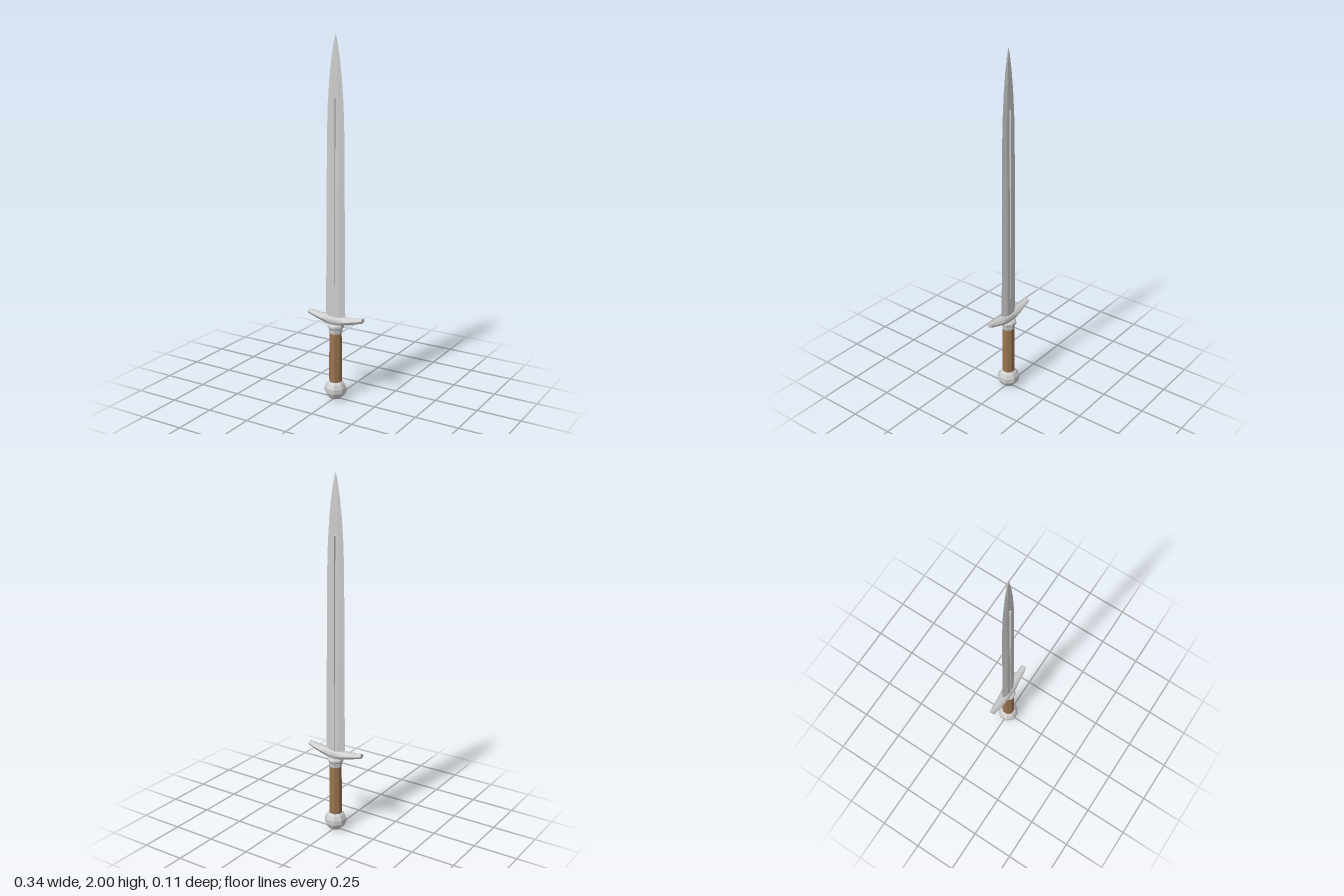
import * as THREE from 'three';
import { toCreasedNormals } from 'three/addons/utils/BufferGeometryUtils.js';

const steel = new THREE.MeshStandardMaterial({ color: 0xcccccc });
const flatSteel = new THREE.MeshStandardMaterial({ color: 0xcccccc, flatShading: true });
const leather = new THREE.MeshStandardMaterial({ color: 0x9a7350, flatShading: true });

// Skin closed rings of points, counter-clockwise seen from the far end, and cap both ends
function loft(rings) {
  const pos = [];
  const tri = (...pts) => pts.forEach((p) => pos.push(...p));
  const n = rings[0].length;
  for (let k = 0; k < rings.length - 1; k++) {
    for (let i = 0; i < n; i++) {
      const j = (i + 1) % n;
      const a = rings[k], b = rings[k + 1];
      tri(a[i], a[j], b[j]);
      tri(a[i], b[j], b[i]);
    }
  }
  const first = rings[0], last = rings[rings.length - 1];
  for (let i = 1; i < n - 1; i++) {
    tri(first[0], first[i + 1], first[i]);
    tri(last[0], last[i], last[i + 1]);
  }
  const geo = new THREE.BufferGeometry();
  geo.setAttribute('position', new THREE.Float32BufferAttribute(pos, 3));
  geo.computeVertexNormals();
  return geo;
}

// Eight-sided turned part from [radius, height] pairs
function turned(profile) {
  const points = profile.map(([r, y]) => new THREE.Vector2(r, y));
  return new THREE.LatheGeometry(points, 8, Math.PI / 8);
}

export function createModel() {
  const group = new THREE.Group();
  const add = (name, geo, mat) => {
    const mesh = new THREE.Mesh(geo, mat);
    mesh.name = name;
    group.add(mesh);
  };

  // Blade: flattened hexagon sections [height, half width, half thickness]
  const blade = [
    [0.46, 0.062, 0.016], [0.8, 0.059, 0.014], [1.2, 0.056, 0.012], [1.5, 0.053, 0.01],
    [1.65, 0.048, 0.009], [1.78, 0.038, 0.008], [1.88, 0.026, 0.006],
    [1.95, 0.014, 0.004], [1.985, 0.006, 0.003], [2.0, 0.001, 0.001],
  ].map(([y, w, t]) => {
    const f = w * 0.45;
    return [[w, y, 0], [f, y, -t], [-f, y, -t], [-w, y, 0], [-f, y, t], [f, y, t]];
  });
  add('blade', loft(blade), flatSteel);

  // Narrow raised rib along both faces of the blade
  const rib = [0.46, 1.68].map((y) => [
    [0.006, y, 0], [0.003, y, -0.018], [-0.003, y, -0.018],
    [-0.006, y, 0], [-0.003, y, 0.018], [0.003, y, 0.018],
  ]);
  add('bladeRib', loft(rib), flatSteel);

  // Crossguard: [x, centre height, half height, half depth], mirrored, arms curving up
  const arm = [[0, 0.457, 0.028, 0.031], [0.04, 0.459, 0.027, 0.031], [0.08, 0.465, 0.023, 0.027],
    [0.125, 0.473, 0.018, 0.022], [0.172, 0.484, 0.014, 0.016]];
  const stations = [...arm.slice(1).reverse().map(([x, ...rest]) => [-x, ...rest]), ...arm];
  const guard = stations.map(([x, y, h, d]) => Array.from({ length: 8 }, (_, i) => {
    const a = (i / 8) * Math.PI * 2;
    return [x, y + h * Math.cos(a), d * Math.sin(a)];
  }));
  add('crossguard', toCreasedNormals(loft(guard), 0.9), steel);

  // Collar under the guard
  add('collar', turned([[0, 0.385], [0.036, 0.385], [0.039, 0.41], [0.046, 0.418],
    [0.046, 0.43], [0.038, 0.438], [0, 0.438]]), flatSteel);

  // Grip
  add('grip', turned([[0, 0.09], [0.036, 0.09], [0.036, 0.25], [0.034, 0.39], [0, 0.39]]), leather);

  // Pommel
  add('pommel', turned([[0, 0], [0.03, 0], [0.05, 0.018], [0.062, 0.04],
    [0.062, 0.066], [0.05, 0.088], [0.036, 0.1], [0, 0.1]]), flatSteel);

  return group;
}
